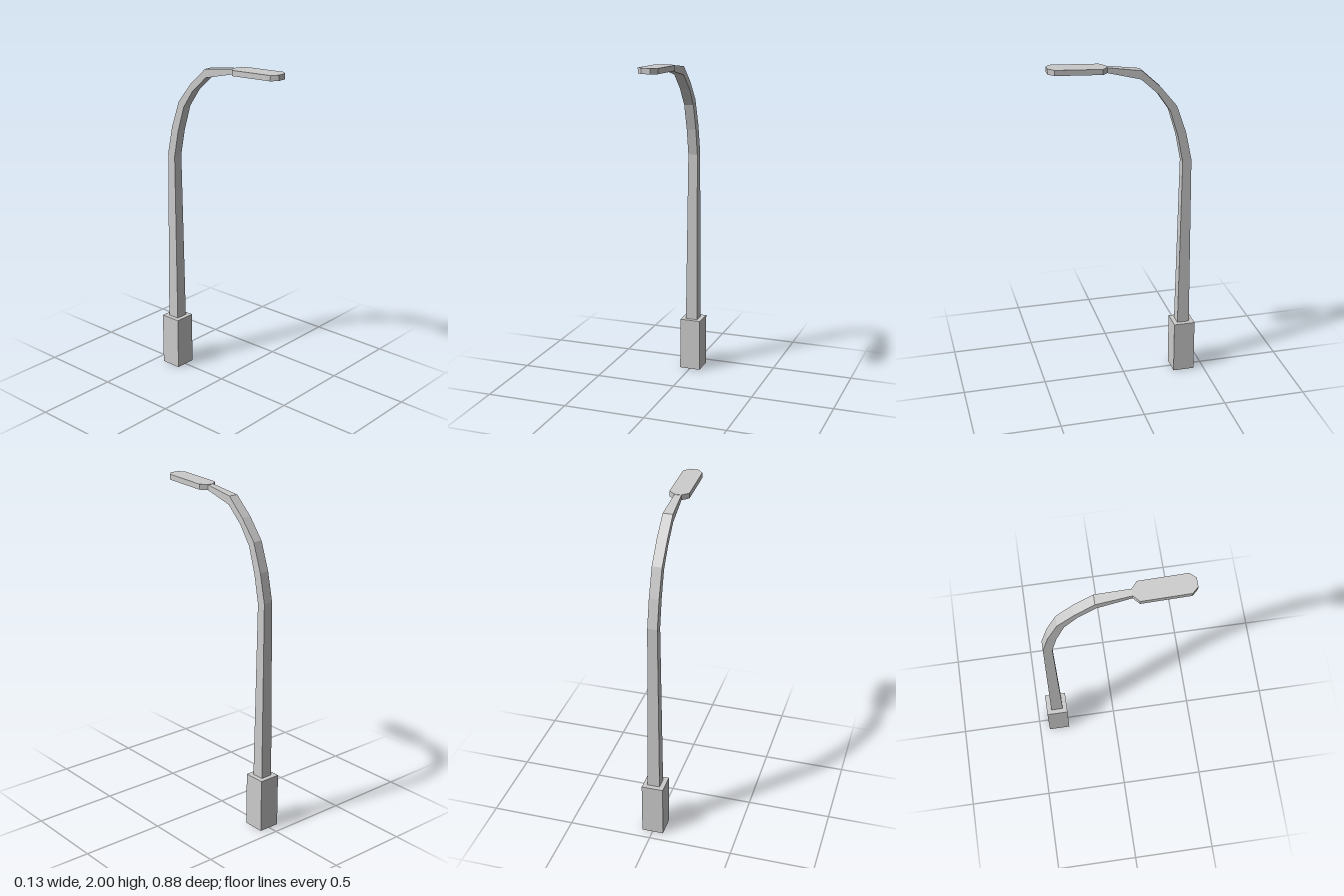
import * as THREE from 'three';

const material = new THREE.MeshStandardMaterial({ color: 0xcccccc, flatShading: true });

function addMesh(parent, name, geometry) {
  const mesh = new THREE.Mesh(geometry, material);
  mesh.name = name;
  parent.add(mesh);
  return mesh;
}

// Square tube through stations [outerZ, outerY, innerZ, innerY, halfWidth]
function loft(stations) {
  const rings = stations.map(([oz, oy, iz, iy, w]) => [
    [-w, oy, oz], [w, oy, oz], [w, iy, iz], [-w, iy, iz],
  ]);
  const pos = [];
  const quad = (a, b, c, d) => pos.push(...a, ...b, ...c, ...a, ...c, ...d);
  for (let i = 0; i < rings.length - 1; i++) {
    for (let k = 0; k < 4; k++) {
      const n = (k + 1) % 4;
      quad(rings[i][n], rings[i][k], rings[i + 1][k], rings[i + 1][n]);
    }
  }
  const last = rings[rings.length - 1];
  quad(rings[0][0], rings[0][1], rings[0][2], rings[0][3]);
  quad(last[3], last[2], last[1], last[0]);
  const g = new THREE.BufferGeometry();
  g.setAttribute('position', new THREE.Float32BufferAttribute(pos, 3));
  g.computeVertexNormals();
  return g;
}

// Mirrored outline in plan from [halfWidth, z] points
function outline(half, Type = THREE.Shape) {
  const right = half.map(([x, z]) => new THREE.Vector2(x, z));
  const left = half.map(([x, z]) => new THREE.Vector2(-x, z)).reverse();
  return new Type([...right, ...left]);
}

// Horizontal slab hanging down from the tilted top plane of the lamp head
function slab(shape, drop, depth) {
  const g = new THREE.ExtrudeGeometry(shape, { depth, bevelEnabled: false });
  g.rotateX(Math.PI / 2);
  const p = g.attributes.position;
  for (let i = 0; i < p.count; i++) {
    p.setY(i, p.getY(i) + 2 - drop + 0.05 * (p.getZ(i) - 0.437));
  }
  g.computeVertexNormals();
  return g;
}

export function createModel() {
  const model = new THREE.Group();
  model.name = 'streetLamp';

  // Square plinth
  const base = addMesh(model, 'base', new THREE.BoxGeometry(0.13, 0.325, 0.13));
  base.position.set(0, 0.1625, -0.373);

  // Tapered pole bending over into the arm
  addMesh(model, 'poleAndArm', loft([
    [-0.409, 0.30, -0.335, 0.30, 0.037],
    [-0.402, 1.395, -0.349, 1.383, 0.029],
    [-0.366, 1.565, -0.318, 1.543, 0.029],
    [-0.308, 1.73, -0.27, 1.70, 0.029],
    [-0.21, 1.85, -0.197, 1.807, 0.03],
    [-0.10, 1.952, -0.095, 1.902, 0.029],
    [0.105, 1.982, 0.105, 1.952, 0.02],
  ]));

  // Lamp head: top plate, hollow rim and recessed light panel
  const head = new THREE.Group();
  head.name = 'lampHead';
  model.add(head);
  const plan = [[0.02, 0.097], [0.058, 0.13], [0.058, 0.403], [0.026, 0.437]];
  const opening = [[0.016, 0.113], [0.046, 0.139], [0.046, 0.397], [0.02, 0.424]];
  const panel = [[0.028, 0.16], [0.028, 0.38]];
  addMesh(head, 'topPlate', slab(outline(plan), 0, 0.014));
  const rim = outline(plan);
  rim.holes.push(outline(opening, THREE.Path));
  addMesh(head, 'rim', slab(rim, 0.014, 0.018));
  addMesh(head, 'lightPanel', slab(outline(panel), 0.014, 0.008));

  return model;
}
